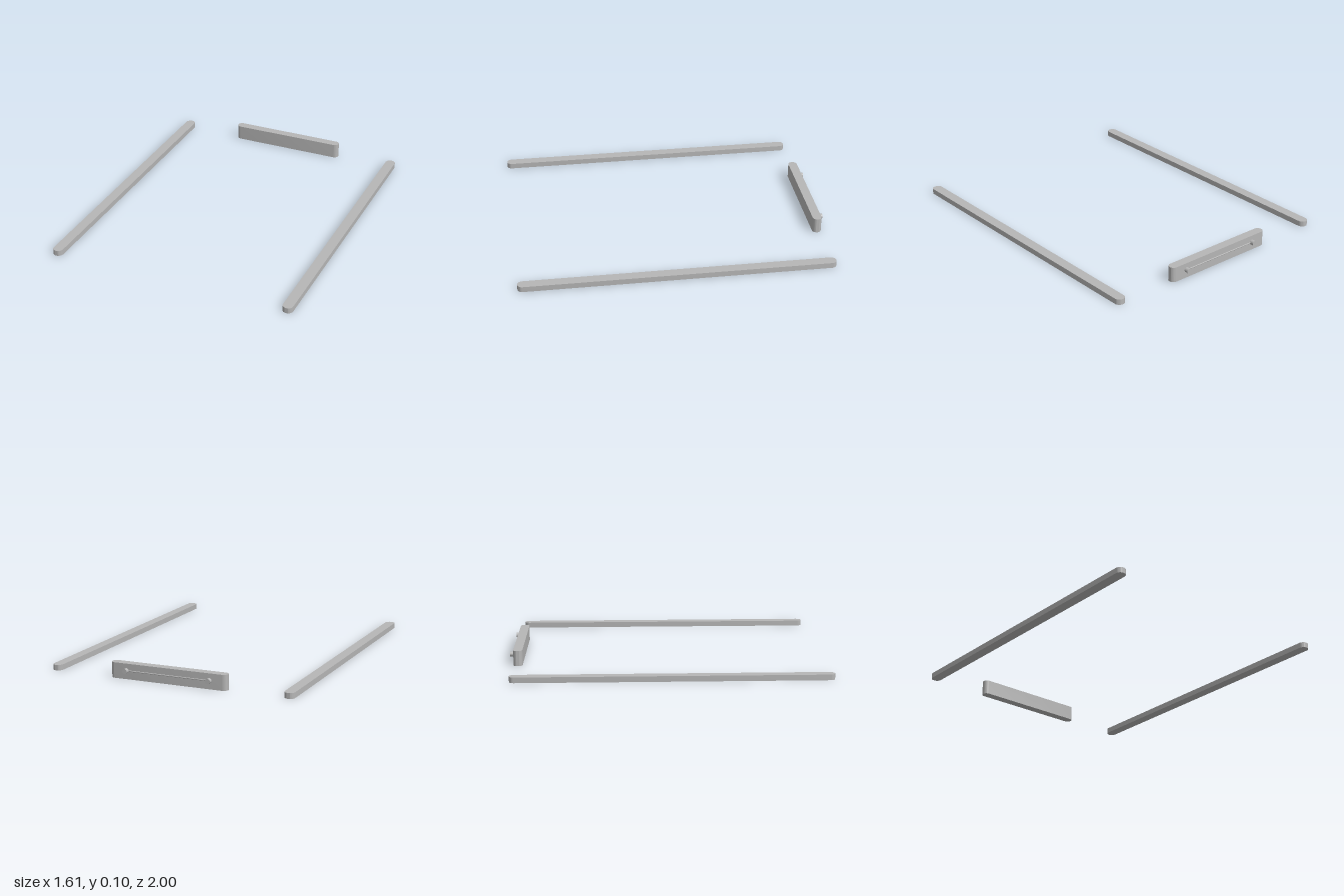
import * as THREE from 'three';
import { toCreasedNormals } from 'three/addons/utils/BufferGeometryUtils.js';

// Flat bar with fully rounded ends, lying along x, standing on y = 0
function roundedBar(length, width, height) {
  const r = width / 2, h = length / 2 - r;
  const shape = new THREE.Shape();
  shape.moveTo(-h, -r);
  shape.lineTo(h, -r);
  shape.absarc(h, 0, r, -Math.PI / 2, Math.PI / 2, false);
  shape.lineTo(-h, r);
  shape.absarc(-h, 0, r, Math.PI / 2, Math.PI * 1.5, false);
  const geo = new THREE.ExtrudeGeometry(shape, { depth: height, bevelEnabled: false, curveSegments: 16 });
  geo.rotateX(-Math.PI / 2);
  return toCreasedNormals(geo, 0.6);
}

export function createModel() {
  const group = new THREE.Group();
  const grey = new THREE.MeshStandardMaterial({ color: 0xb6b6b6 });
  grey.name = 'grey';

  const add = (name, geo, x, y, z) => {
    const mesh = new THREE.Mesh(geo, grey);
    mesh.name = name;
    mesh.position.set(x, y, z);
    group.add(mesh);
    return mesh;
  };

  // Long side rails
  const railGeo = roundedBar(1.972, 0.065, 0.035).rotateY(Math.PI / 2);
  add('leftRail', railGeo, 0.77, 0, 0.014);
  add('rightRail', railGeo, -0.77, 0, 0.014);

  // Upright back plate
  add('backPlate', roundedBar(0.77, 0.058, 0.097), 0, 0, -0.946);

  // Pegs on the rear of the plate, joined by a thin rod
  const pegGeo = new THREE.CylinderGeometry(0.016, 0.016, 0.03, 24).rotateX(Math.PI / 2);
  add('leftPeg', pegGeo, 0.275, 0.053, -0.985);
  add('rightPeg', pegGeo, -0.275, 0.053, -0.985);
  const rodGeo = new THREE.CylinderGeometry(0.004, 0.004, 0.54, 12).rotateZ(Math.PI / 2);
  add('connectingRod', rodGeo, 0, 0.053, -0.977);

  return group;
}
